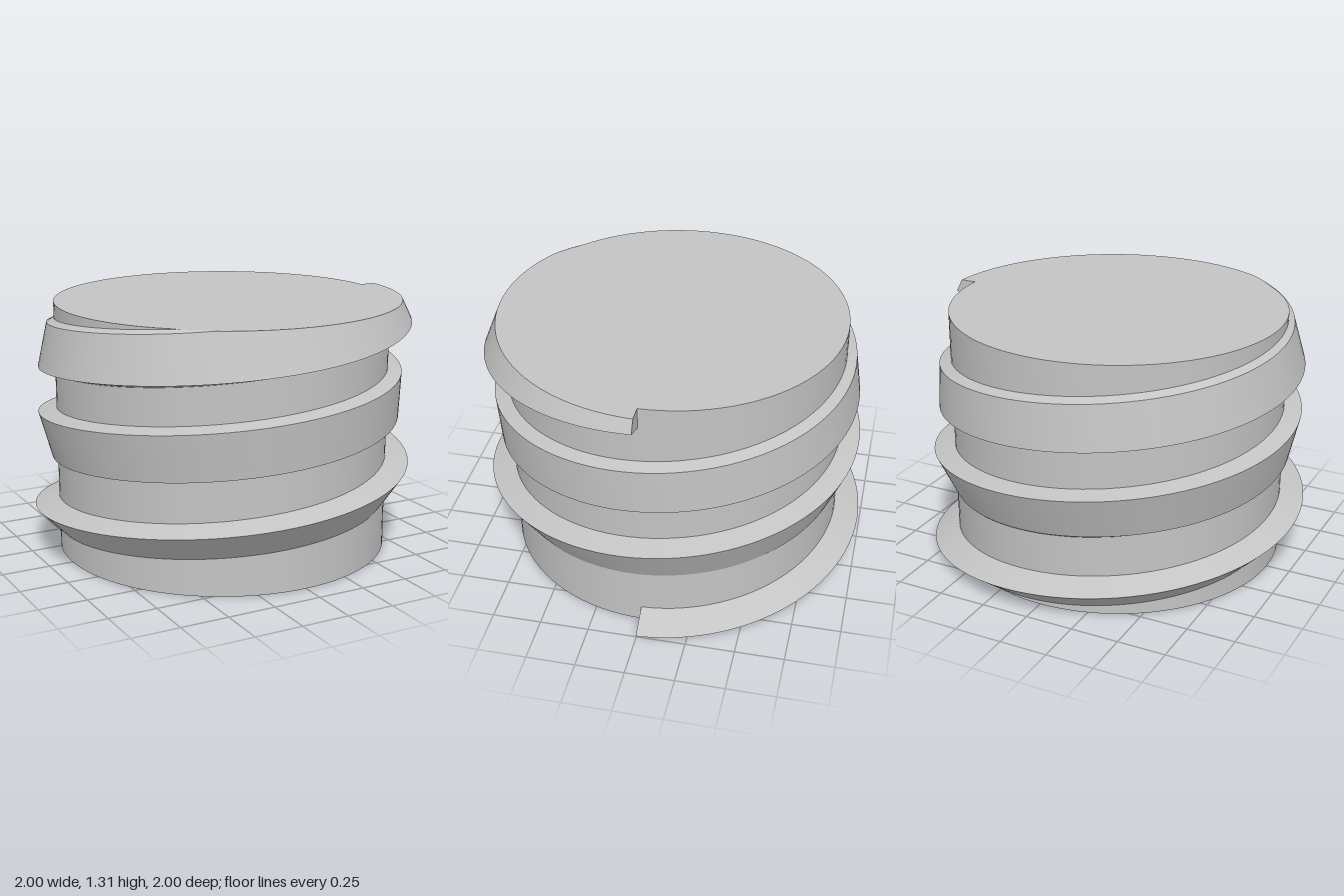
import * as THREE from 'three';

const RADIUS = 0.87, HEIGHT = 1.31, TURNS = 3, STEPS = 288;

// Ridge corners as [radius, height], one entry per quarter turn
const curve = (points) => new THREE.SplineCurve(points.map(([r, y]) => new THREE.Vector2(r, y)));
const rootCurve = (heights) => curve(heights.map((y) => [RADIUS, y]));

const upperEdge = curve([
  [1, 0], [1, 0.13], [0.995, 0.26], [0.995, 0.385], [0.985, 0.51], [0.97, 0.635], [0.963, 0.76],
  [0.95, 0.88], [0.935, 0.99], [0.92, 1.11], [0.905, 1.23], [0.89, 1.35], [0.87, 1.47],
]);
const lowerEdge = curve([
  [0.87, -0.07], [0.87, 0.02], [0.87, 0.13], [0.87, 0.225], [0.87, 0.3], [0.883, 0.41], [0.903, 0.52],
  [0.923, 0.635], [0.935, 0.755], [0.95, 0.88], [0.962, 1], [0.98, 1.12], [0.987, 1.245],
]);
const upperRoot = rootCurve([0.08, 0.185, 0.3, 0.42, 0.54, 0.655, 0.78, 0.9, 1.01, 1.13, 1.25, 1.36, 1.47]);
const lowerRoot = rootCurve([-0.07, 0.02, 0.13, 0.225, 0.3, 0.4, 0.51, 0.62, 0.735, 0.86, 0.97, 1.09, 1.2]);

// Cross-section at t, trimmed flush with the ends of the cylinder
function section(t) {
  const [a, b, c, d] = [lowerRoot, lowerEdge, upperEdge, upperRoot].map((k) => k.getPoint(t));
  if (b.y < 0) b.lerp(c.clone(), THREE.MathUtils.clamp(b.y / (b.y - c.y), 0, 1));
  if (c.y > HEIGHT) c.lerp(b.clone(), (c.y - HEIGHT) / (c.y - b.y));
  a.y = Math.max(a.y, 0);
  d.y = Math.min(d.y, HEIGHT);
  const angle = t * TURNS * Math.PI * 2;
  return [a, b, c, d].map((p) => [p.x * Math.cos(angle), p.y, -p.x * Math.sin(angle)]);
}

function buildGeometry(positions, index) {
  const geometry = new THREE.BufferGeometry();
  geometry.setAttribute('position', new THREE.Float32BufferAttribute(positions.flat(), 3));
  geometry.setIndex(index);
  geometry.computeVertexNormals();
  return geometry;
}

export function createModel() {
  const group = new THREE.Group();
  const grey = new THREE.MeshStandardMaterial({ color: 0xc4c4c4, side: THREE.DoubleSide });
  grey.name = 'grey';
  const add = (name, geometry, parent) => {
    const mesh = new THREE.Mesh(geometry, grey);
    mesh.name = name;
    parent.add(mesh);
    return mesh;
  };

  // Solid core
  add('core', new THREE.CylinderGeometry(RADIUS, RADIUS, HEIGHT, 96), group).position.y = HEIGHT / 2;

  // Spiral ridge: one smooth strip per side, sharp edges between them
  const ridge = new THREE.Group();
  ridge.name = 'spiralRidge';
  group.add(ridge);
  const rings = Array.from({ length: STEPS + 1 }, (_, i) => section(i / STEPS));
  ['ridgeUnderside', 'ridgeOuterFace', 'ridgeTopFace'].forEach((name, k) => {
    const positions = [], index = [];
    rings.forEach((ring, i) => {
      positions.push(ring[k], ring[k + 1]);
      if (i < STEPS) {
        const n = i * 2;
        index.push(n, n + 2, n + 1, n + 1, n + 2, n + 3);
      }
    });
    add(name, buildGeometry(positions, index), ridge);
  });

  // Flat ends of the ridge
  add('ridgeStart', buildGeometry(rings[0], [0, 1, 2, 0, 2, 3]), ridge);
  add('ridgeEnd', buildGeometry(rings[STEPS], [0, 2, 1, 0, 3, 2]), ridge);

  group.position.set(-0.004, 0, 0.004);
  return group;
}
